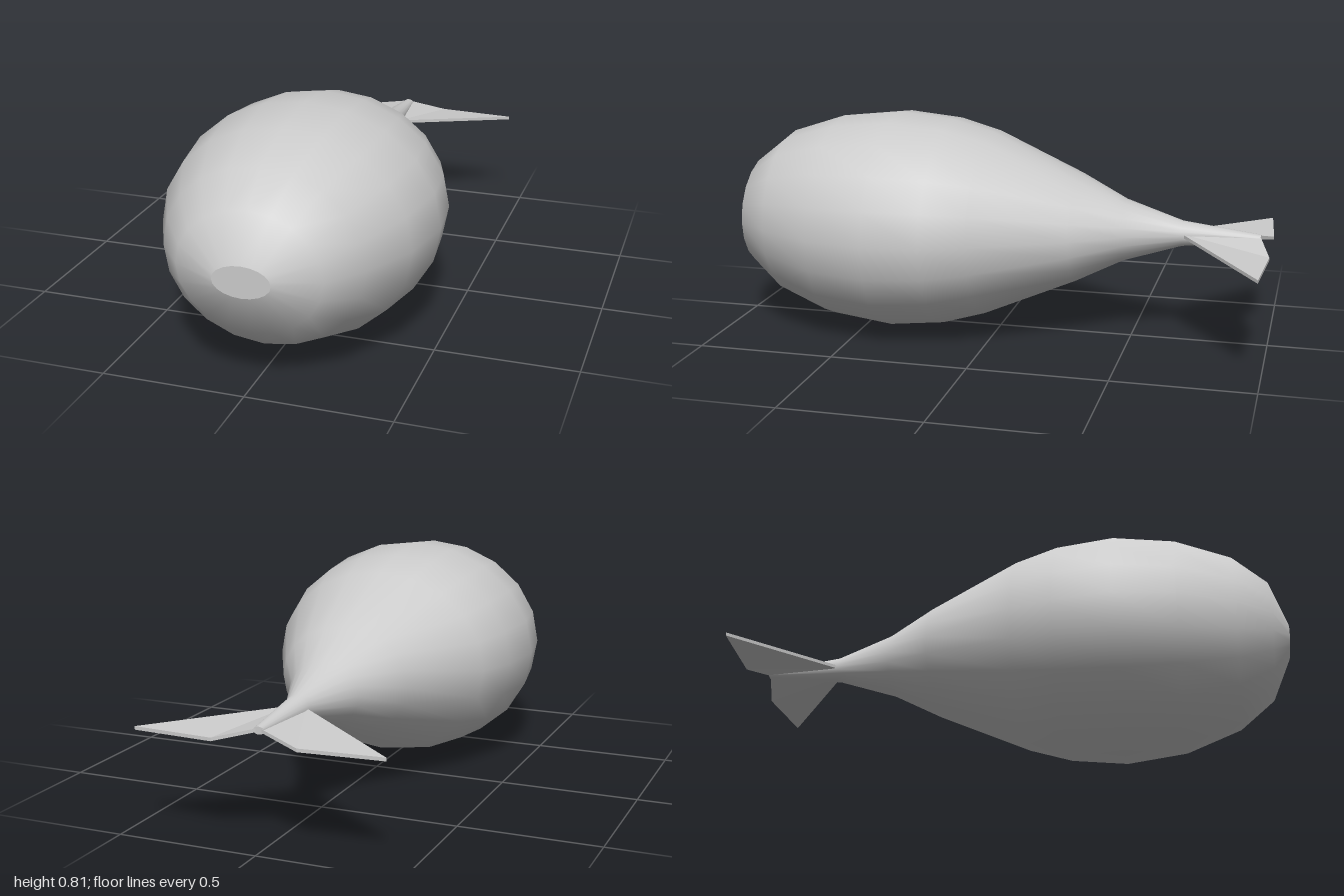
import * as THREE from 'three';
import { mergeVertices } from 'three/addons/utils/BufferGeometryUtils.js';

const SIDES = 20;
const material = new THREE.MeshStandardMaterial({ color: 0xcccccc });

// Elliptical body rings from snout to tail: z, half width, bottom, top
const RINGS = [
  [1.0, 0.1, 0.35, 0.46],
  [0.935, 0.25, 0.2, 0.62],
  [0.81, 0.35, 0.1, 0.72],
  [0.61, 0.445, 0.028, 0.786],
  [0.39, 0.485, 0.003, 0.81],
  [0.185, 0.463, 0.025, 0.79],
  [0.03, 0.41, 0.07, 0.748],
  [-0.3, 0.24, 0.21, 0.605],
  [-0.47, 0.13, 0.295, 0.52],
  [-0.68, 0.045, 0.36, 0.453],
  [-0.96, 0.02, 0.392, 0.418],
];

// Smooth loft: an open cylinder whose rows are fitted to the rings
function bodyGeometry() {
  const geo = new THREE.CylinderGeometry(1, 1, 2, SIDES, RINGS.length - 1, true);
  geo.rotateX(Math.PI / 2);
  const p = geo.attributes.position;
  for (let i = 0; i < p.count; i++) {
    const [z, rx, low, high] = RINGS[Math.floor(i / (SIDES + 1))];
    p.setXYZ(i, p.getX(i) * rx, (low + high) / 2 + (p.getY(i) * (high - low)) / 2, z);
  }
  geo.deleteAttribute('uv');
  geo.deleteAttribute('normal');
  const merged = mergeVertices(geo, 1e-4);
  merged.computeVertexNormals();
  return merged;
}

// Flat end disc on a ring
function capGeometry([z, rx, low, high], back) {
  const geo = new THREE.CircleGeometry(1, SIDES, Math.PI / 2);
  if (back) geo.rotateY(Math.PI);
  return geo.scale(rx, (high - low) / 2, 1).translate(0, (low + high) / 2, z);
}

// Thin, slightly drooping fluke; side is +1 (left) or -1 (right)
function flukeGeometry(side) {
  const outline = [
    [0.03, 0.405, -0.68],
    [0.44, 0.37, -0.98],
    [0.15, 0.37, -1.0],
    [0.01, 0.405, -0.96],
  ];
  const t = 0.006;
  const at = (i, dy) => [outline[i][0] * side, outline[i][1] + dy, outline[i][2]];
  const verts = [];
  const tri = (a, b, c) => verts.push(...(side > 0 ? [a, b, c] : [a, c, b]).flat());
  for (const [a, b, c] of [[0, 1, 2], [0, 2, 3]]) {
    tri(at(a, t), at(b, t), at(c, t));
    tri(at(a, -t), at(c, -t), at(b, -t));
  }
  for (let i = 0; i < 4; i++) {
    const j = (i + 1) % 4;
    tri(at(i, t), at(i, -t), at(j, -t));
    tri(at(i, t), at(j, -t), at(j, t));
  }
  const geo = new THREE.BufferGeometry();
  geo.setAttribute('position', new THREE.Float32BufferAttribute(verts, 3));
  geo.computeVertexNormals();
  return geo;
}

export function createModel() {
  const model = new THREE.Group();
  const add = (name, geo) => {
    const mesh = new THREE.Mesh(geo, material);
    mesh.name = name;
    model.add(mesh);
  };
  add('body', bodyGeometry());
  add('snout', capGeometry(RINGS[0], false));
  add('tailEnd', capGeometry(RINGS[RINGS.length - 1], true));
  add('leftFluke', flukeGeometry(1));
  add('rightFluke', flukeGeometry(-1));
  return model;
}
